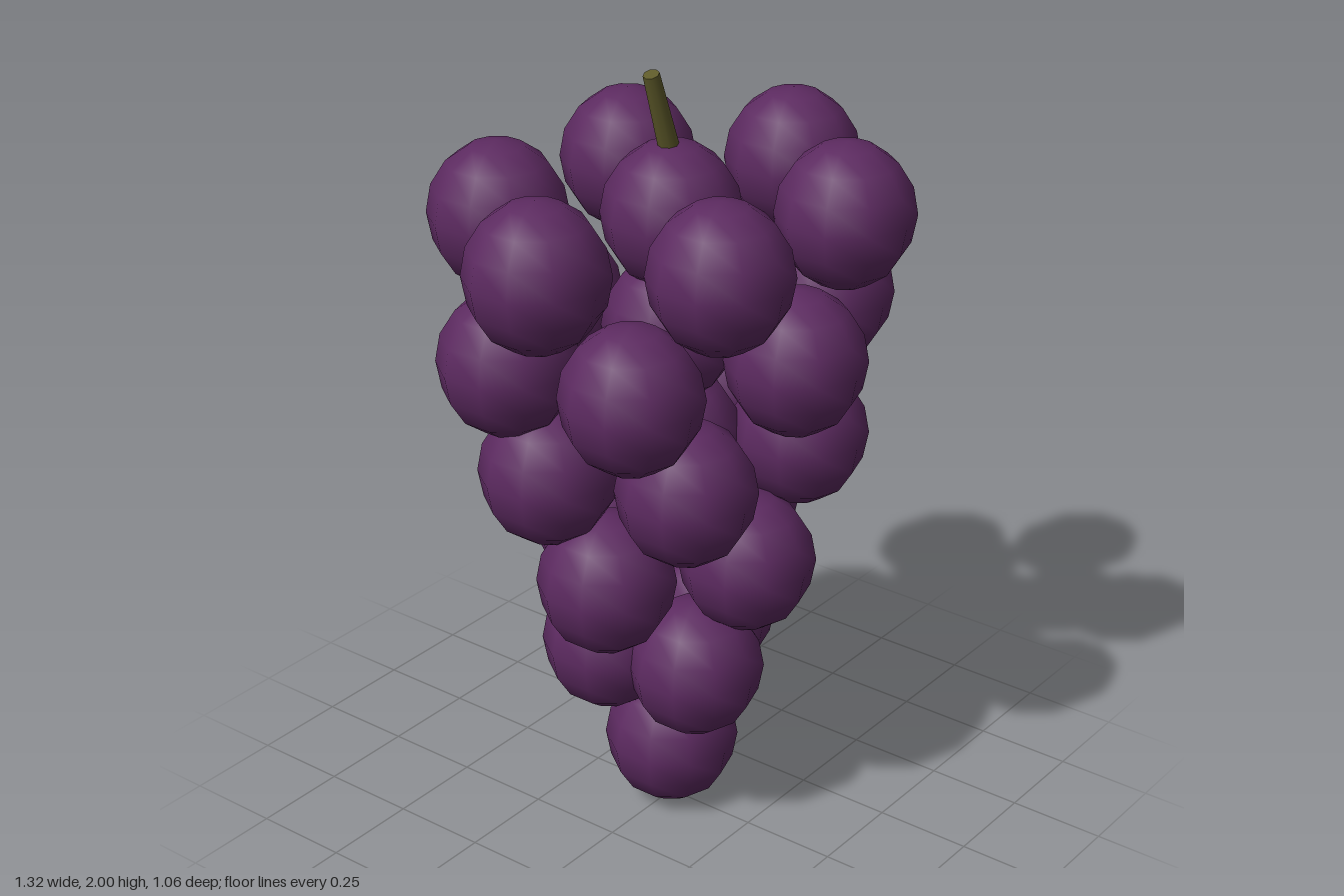
import * as THREE from 'three';

export function createModel() {
  const model = new THREE.Group();
  model.name = 'grapeBunch';

  const skin = new THREE.MeshStandardMaterial({ color: 0x5c2a60 });
  const wood = new THREE.MeshStandardMaterial({ color: 0x5e5a2a });

  // One low-poly berry, slightly taller than wide
  const berryGeometry = new THREE.SphereGeometry(0.172, 10, 8);
  berryGeometry.rotateY(Math.PI / 2);
  berryGeometry.scale(1, 1.06, 1);

  function addBerry(parent, x, y, z) {
    const berry = new THREE.Mesh(berryGeometry, skin);
    berry.name = 'berry';
    berry.position.set(x, y, z);
    parent.add(berry);
  }

  // Tiers from top to bottom: ring berries, oval radii, and a core berry or not
  const tiers = [
    { count: 6, rx: 0.495, rz: 0.38, core: true },
    { count: 6, rx: 0.46, rz: 0.36, core: true },
    { count: 5, rx: 0.37, rz: 0.29, core: true },
    { count: 4, rx: 0.28, rz: 0.22, core: false },
    { count: 3, rx: 0.18, rz: 0.147, core: false },
    { count: 0, rx: 0, rz: 0, core: true },
  ];

  tiers.forEach(({ count, rx, rz, core }, i) => {
    const tier = new THREE.Group();
    tier.name = `berryTier${i + 1}`;
    const y = 1.63 - i * 0.289;
    for (let k = 0; k < count; k++) {
      const a = i * 0.5 + (k / count) * Math.PI * 2; // each tier is twisted on
      addBerry(tier, Math.cos(a) * rx, y, Math.sin(a) * rz);
    }
    if (core) addBerry(tier, 0, y, 0);
    model.add(tier);
  });

  // Leaning, tapered stem sunk into the top core berry
  const foot = new THREE.Vector3(0.01, 1.74, 0);
  const tip = new THREE.Vector3(-0.077, 1.993, 0);
  const axis = tip.clone().sub(foot);
  const stem = new THREE.Mesh(new THREE.CylinderGeometry(0.02, 0.027, axis.length(), 8), wood);
  stem.name = 'stem';
  stem.position.copy(foot).add(tip).multiplyScalar(0.5);
  stem.quaternion.setFromUnitVectors(new THREE.Vector3(0, 1, 0), axis.normalize());
  model.add(stem);

  return model;
}
